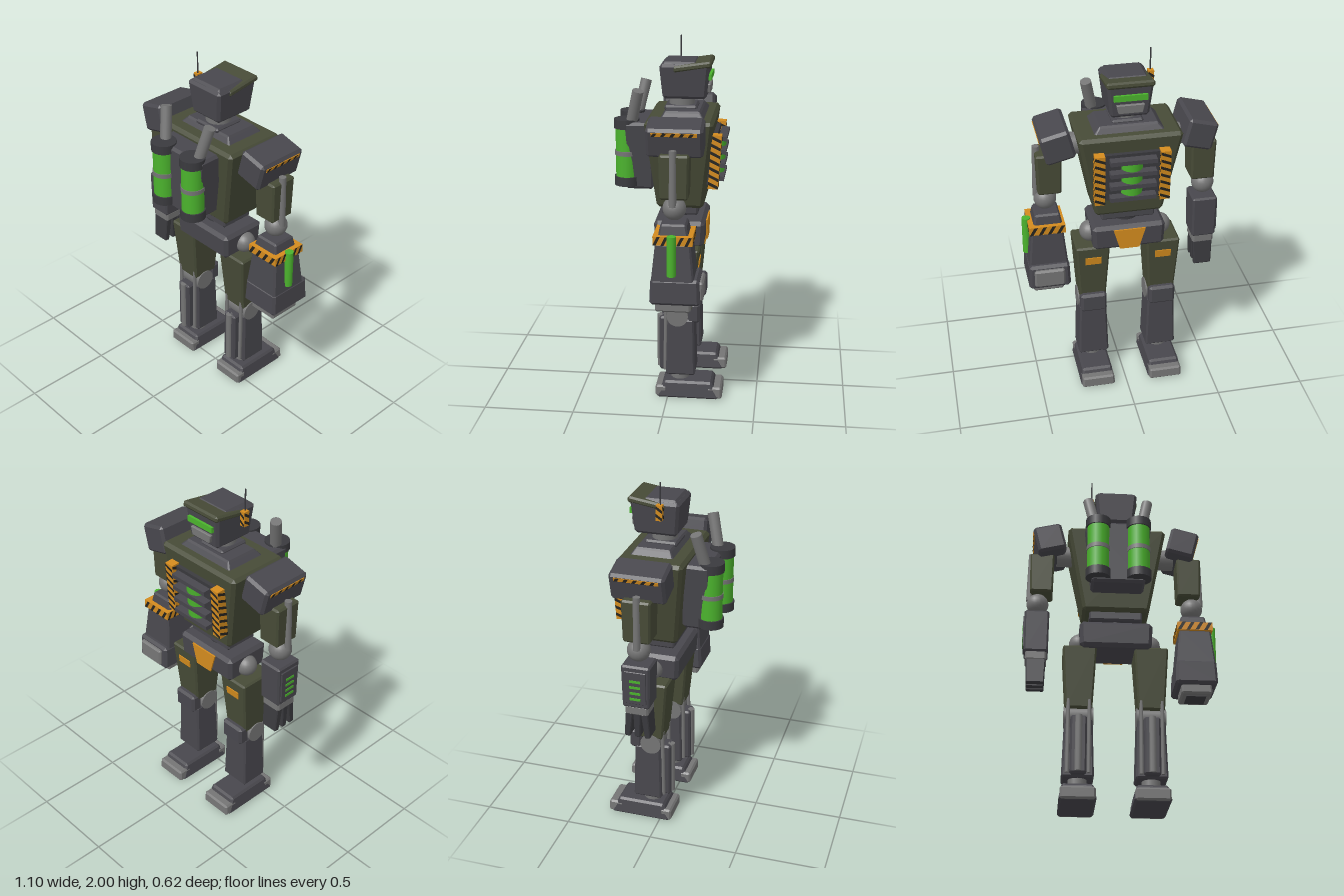
import * as THREE from 'three';
import { ConvexGeometry } from 'three/addons/geometries/ConvexGeometry.js';

const mat = (name, color) => Object.assign(new THREE.MeshStandardMaterial({ color }), { name });
const dark = mat('gunmetal', 0x48474d);
const charcoal = mat('charcoal', 0x3a3a3e);
const olive = mat('olive paint', 0x474b37);
const steel = mat('steel', 0x757575);
const orange = mat('warning orange', 0xd38b1e);
const black = mat('stripe black', 0x26241f);
const green = mat('glowing green', 0x4bb32d);

function add(parent, name, geo, material, x = 0, y = 0, z = 0) {
  const mesh = new THREE.Mesh(geo, material);
  mesh.name = name;
  mesh.position.set(x, y, z);
  parent.add(mesh);
  return mesh;
}

// Chamfered block, w x d at the bottom and tw x td at the top, spanning y0..y1
function block(parent, name, material, [x, z], [y0, y1], [w, d], [tw, td] = [w, d], b = 0.01) {
  const pts = [], h = (y1 - y0) / 2;
  for (const sy of [-1, 1]) for (const sx of [-1, 1]) for (const sz of [-1, 1]) {
    const px = (sy < 0 ? w : tw) / 2, pz = (sy < 0 ? d : td) / 2;
    pts.push(new THREE.Vector3(sx * px, sy * (h - b), sz * (pz - b)),
      new THREE.Vector3(sx * (px - b), sy * (h - b), sz * pz),
      new THREE.Vector3(sx * (px - b), sy * h, sz * (pz - b)));
  }
  return add(parent, name, new ConvexGeometry(pts), material, x, (y0 + y1) / 2, z);
}

// Cylinder between two points
function rod(parent, name, material, a, b, r, sides = 16) {
  const p = new THREE.Vector3(...a), q = new THREE.Vector3(...b), dir = q.clone().sub(p);
  const mesh = add(parent, name, new THREE.CylinderGeometry(r, r, dir.length(), sides), material);
  mesh.position.copy(p).add(q).multiplyScalar(0.5);
  mesh.quaternion.setFromUnitVectors(new THREE.Vector3(0, 1, 0), dir.normalize());
  return mesh;
}

const ball = (parent, name, x, y, z, r) =>
  add(parent, name, new THREE.SphereGeometry(r, 20, 14), steel, x, y, z);

// Slanted black stripes on a w x h face looking along +z, run along its longer side
function stripes(parent, w, h, x, y, z, ry) {
  const long = Math.max(w, h), short = Math.min(w, h), n = Math.max(2, Math.round(long / 0.045));
  const step = long / n, shapes = [];
  const lean = Math.min(short * 0.7, step * 0.55);
  for (let i = 0; i < n; i++) {
    const s = -long / 2 + i * step, e = s + step * 0.4, t = short / 2;
    const corners = [[s, -t], [e, -t], [e + lean, t], [s + lean, t]];
    shapes.push(new THREE.Shape(corners.map(([a, c]) => new THREE.Vector2(a, c))));
  }
  const geo = new THREE.ShapeGeometry(shapes);
  if (h > w) geo.rotateZ(Math.PI / 2);
  add(parent, 'warningStripes', geo, black, x, y, z).rotation.y = ry;
}

// Orange box with stripes on its four upright sides
function hazardBox(parent, name, w, h, d, x, y, z) {
  const g = new THREE.Group();
  g.name = name;
  g.position.set(x, y, z);
  parent.add(g);
  add(g, name + 'Body', new THREE.BoxGeometry(w, h, d), orange);
  for (const s of [0, 1]) {
    stripes(g, w, h, 0, 0, (s ? -1 : 1) * (d / 2 + 0.002), s * Math.PI);
    stripes(g, d, h, (s ? -1 : 1) * (w / 2 + 0.002), 0, 0, Math.PI / 2 + s * Math.PI);
  }
  return g;
}

function buildHead(g) {
  rod(g, 'neck', steel, [0, 1.58, -0.05], [0, 1.71, -0.05], 0.07);
  block(g, 'neckRing', dark, [0, -0.05], [1.62, 1.65], [0.17, 0.18]);
  block(g, 'head', dark, [0, -0.072], [1.69, 1.88], [0.21, 0.24], [0.245, 0.27], 0.015);
  block(g, 'helmetTop', dark, [0, -0.045], [1.86, 1.892], [0.23, 0.2], [0.21, 0.18]);
  const brim = block(g, 'helmetBrim', olive, [0, -0.115], [1.85, 1.885], [0.255, 0.21]);
  brim.rotation.x = 0.15;
  add(g, 'visor', new THREE.BoxGeometry(0.18, 0.032, 0.02), green, 0, 1.81, -0.208);
  block(g, 'jaw', steel, [0, -0.2], [1.72, 1.77], [0.13, 0.025], [0.15, 0.025], 0.004);
  hazardBox(g, 'antennaBase', 0.03, 0.085, 0.035, -0.143, 1.835, -0.035);
  rod(g, 'antenna', charcoal, [-0.142, 1.86, -0.03], [-0.142, 2, -0.03], 0.004, 6);
}

function buildTorso(g) {
  block(g, 'chest', olive, [0, -0.058], [1.1, 1.6], [0.38, 0.26], [0.56, 0.37], 0.018);
  block(g, 'collar', dark, [0, -0.068], [1.56, 1.635], [0.43, 0.28], [0.33, 0.2]);
  block(g, 'bellyPlate', dark, [0, -0.055], [1.05, 1.11], [0.3, 0.2]);
  rod(g, 'waist', charcoal, [0, 0.99, -0.055], [0, 1.08, -0.055], 0.075);
  block(g, 'pelvis', dark, [0, -0.055], [0.875, 1.025], [0.4, 0.27], [0.41, 0.28], 0.02);

  // Warning plate on the pelvis
  const plate = [[-0.055, -0.06], [0.055, -0.06], [0.09, 0.06], [-0.09, 0.06]];
  const shape = new THREE.Shape(plate.map(([x, y]) => new THREE.Vector2(x, y)));
  add(g, 'pelvisPlate', new THREE.ExtrudeGeometry(shape, { depth: 0.009, bevelEnabled: false }),
    orange, 0, 0.945, -0.204);

  // Chest reactor behind a grille
  const reactor = new THREE.Group();
  reactor.name = 'reactor';
  reactor.position.set(0, 1.37, -0.228);
  reactor.rotation.x = -0.06;
  g.add(reactor);
  add(reactor, 'reactorPlate', new THREE.BoxGeometry(0.32, 0.28, 0.04), charcoal);
  rod(reactor, 'reactorCore', green, [0, -0.1, -0.005], [0, 0.1, -0.005], 0.06, 20);
  for (const y of [-0.11, -0.035, 0.04, 0.115])
    add(reactor, 'grilleBar', new THREE.BoxGeometry(0.25, 0.025, 0.045), dark, 0, y, -0.05);
  for (const s of [-1, 1]) hazardBox(reactor, 'reactorRail', 0.055, 0.3, 0.055, s * 0.177, 0, -0.02);

  // Backpack with fuel tanks and exhausts
  block(g, 'backpack', dark, [0, 0.17], [1.19, 1.57], [0.3, 0.16], [0.37, 0.16], 0.015);
  for (const s of [-1, 1]) {
    const x = s * 0.114, z = 0.242;
    rod(g, 'tank', green, [x, 1.24, z], [x, 1.55, z], 0.062, 20);
    rod(g, 'tankCapTop', charcoal, [x, 1.53, z], [x, 1.58, z], 0.07, 20);
    rod(g, 'tankCapBottom', charcoal, [x, 1.21, z], [x, 1.26, z], 0.07, 20);
    rod(g, 'tankBand', steel, [x, 1.38, z], [x, 1.405, z], 0.066, 20);
    rod(g, 'exhaust', steel, [s * 0.13, 1.55, 0.215], [s * 0.17, 1.745, 0.17], 0.031);
  }
}

function buildArm(g, s) {
  const z = -0.057;
  const shoulder = new THREE.Group();
  shoulder.name = 'shoulder';
  shoulder.position.set(s * 0.385, 1.548, z);
  shoulder.rotation.z = -s * 0.25;
  g.add(shoulder);
  block(shoulder, 'shoulderPad', dark, [0, 0], [-0.082, 0.082], [0.165, 0.3], [0.165, 0.3], 0.015);
  add(shoulder, 'shoulderStripe', new THREE.BoxGeometry(0.008, 0.02, 0.24), orange, s * 0.082, 0.055, 0);
  stripes(shoulder, 0.24, 0.02, s * 0.087, 0.055, 0, s * Math.PI / 2);
  rod(g, 'shoulderAxle', steel, [s * 0.24, 1.5, z], [s * 0.34, 1.5, z], 0.06);
  block(g, 'upperArm', olive, [s * 0.425, z], [1.235, 1.475], [0.13, 0.15], [0.14, 0.16]);
  rod(g, 'armPiston', steel, [s * 0.492, 1.2, z + 0.005], [s * 0.485, 1.5, z + 0.005], 0.02, 10);
  ball(g, 'elbow', s * 0.445, 1.18, z, 0.063);
}

function buildHandArm(g) {
  const x = -0.445, z = -0.057;
  block(g, 'forearm', dark, [x, z], [0.86, 1.11], [0.135, 0.15], [0.14, 0.16]);
  block(g, 'forearmPanel', dark, [x - 0.07, z], [0.89, 1.08], [0.012, 0.12], [0.012, 0.12], 0.003);
  for (let i = 0; i < 4; i++)
    add(g, 'statusLight', new THREE.BoxGeometry(0.006, 0.014, 0.06), green, x - 0.076, 0.92 + i * 0.035, z);
  block(g, 'wrist', steel, [x, z], [0.81, 0.87], [0.12, 0.13]);
  for (const dz of [-0.05, 0, 0.05])
    block(g, 'finger', charcoal, [x, z + dz], [0.67, 0.82], [0.1, 0.032], [0.11, 0.04], 0.005)
      .rotation.x = -dz * 2;
}

function buildCannonArm(g) {
  const z = -0.058;
  block(g, 'cannonNeck', dark, [0.443, z], [1.04, 1.11], [0.16, 0.16], [0.14, 0.14]);
  hazardBox(g, 'cannonBand', 0.2, 0.048, 0.21, 0.45, 1.03, z);
  block(g, 'cannonBody', dark, [0.45, z], [0.79, 1.01], [0.22, 0.23], [0.18, 0.19]);
  block(g, 'cannonHead', dark, [0.45, -0.07], [0.675, 0.82], [0.235, 0.27], [0.225, 0.26], 0.015);
  block(g, 'muzzle', steel, [0.452, z], [0.625, 0.69], [0.17, 0.19]);
  add(g, 'muzzleBore', new THREE.BoxGeometry(0.11, 0.006, 0.12), charcoal, 0.452, 0.623, z);
  block(g, 'cannonPanel', steel, [0.452, -0.205], [0.695, 0.8], [0.17, 0.03]);
  rod(g, 'powerCell', green, [0.555, 0.84, z + 0.005], [0.555, 1.06, z + 0.005], 0.024);
}

function buildLeg(g, s) {
  const x = s * 0.2, z = -0.065;
  ball(g, 'hip', x, 0.94, z, 0.06);
  block(g, 'thigh', olive, [x, z], [0.53, 0.89], [0.15, 0.16], [0.19, 0.22]);
  const mark = add(g, 'thighMark', new THREE.BoxGeometry(0.09, 0.045, 0.008), orange, x, 0.8, -0.169);
  mark.rotation.x = -0.083;
  rod(g, 'knee', steel, [x - 0.082, 0.495, -0.055], [x + 0.082, 0.495, -0.055], 0.06, 20);
  block(g, 'kneePad', dark, [x, -0.145], [0.455, 0.57], [0.15, 0.07], [0.15, 0.07], 0.014);
  block(g, 'shin', dark, [x, -0.073], [0.14, 0.475], [0.175, 0.165], [0.155, 0.15]);
  block(g, 'calfPlate', dark, [x, 0.02], [0.15, 0.475], [0.09, 0.06]);
  rod(g, 'calfPiston', steel, [x, 0.16, 0.046], [x, 0.475, 0.046], 0.02, 10);
  for (const e of [-1, 1])
    rod(g, 'calfRod', steel, [x + e * 0.058, 0.16, 0.015], [x + e * 0.058, 0.58, 0.01], 0.011, 8);
  rod(g, 'ankle', steel, [x, 0.08, z], [x, 0.16, z], 0.052);
  block(g, 'foot', dark, [x, -0.115], [0, 0.1], [0.2, 0.35], [0.175, 0.28], 0.012);
  block(g, 'heel', steel, [x, 0.035], [0.004, 0.072], [0.19, 0.066]);
  block(g, 'toe', steel, [x, -0.265], [0.004, 0.072], [0.19, 0.09], [0.185, 0.085]);
}

export function createModel() {
  const model = new THREE.Group();
  model.name = 'robot';
  const body = new THREE.Group();
  body.name = 'body';
  body.position.x = -0.03;
  model.add(body);
  buildHead(body);
  buildTorso(body);
  for (const s of [-1, 1]) {
    buildArm(body, s);
    buildLeg(body, s);
  }
  buildHandArm(body);
  buildCannonArm(body);
  return model;
}
